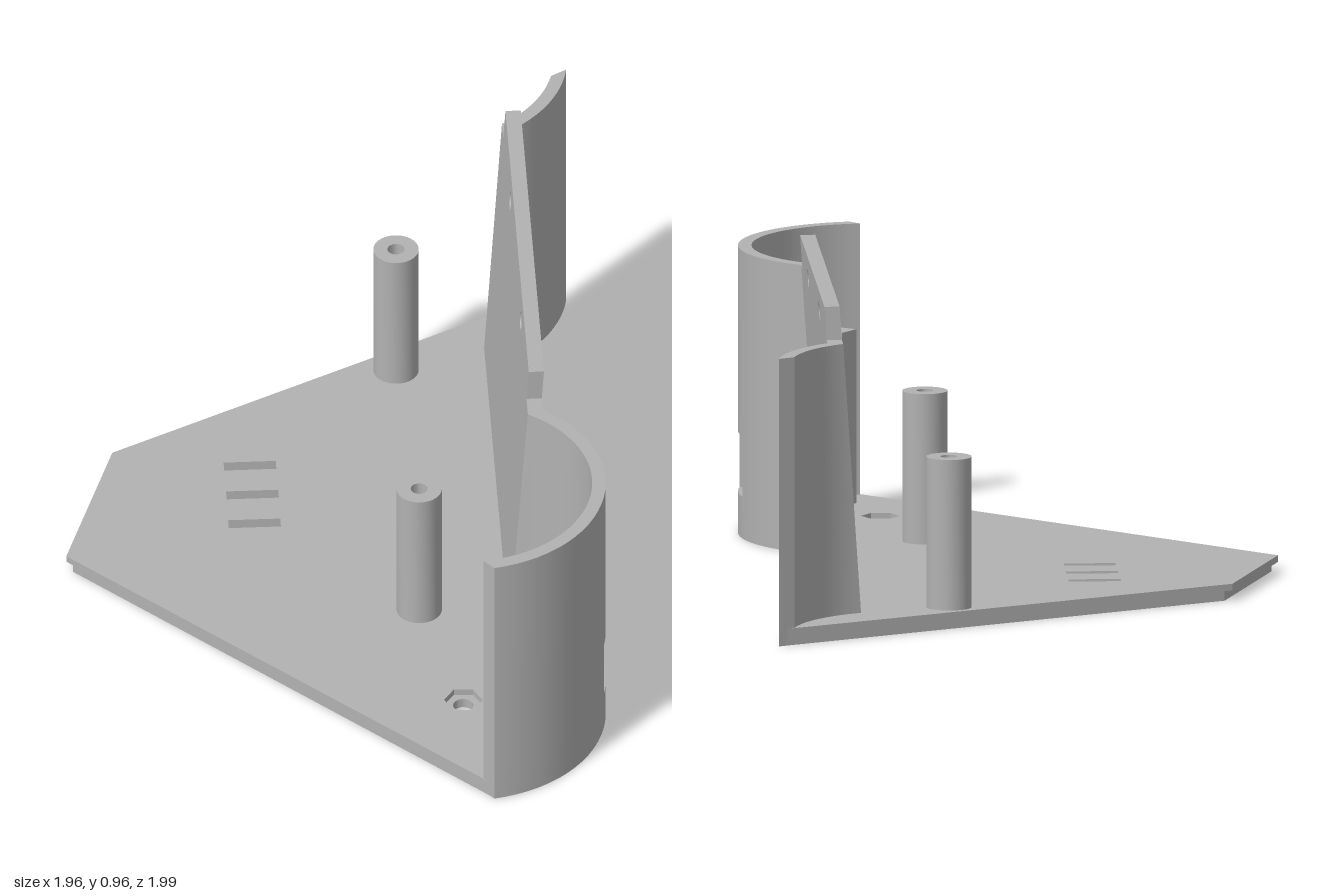
import * as THREE from 'three';
import { toCreasedNormals } from 'three/addons/utils/BufferGeometryUtils.js';

const rad = THREE.MathUtils.degToRad;
// Horizontal directions along the flat wall and out of it
const ALONG = new THREE.Vector2(0.589, -0.808);
const OUT = new THREE.Vector2(0.808, 0.589);
const LEAN = 0.067, WALL_TOP = 0.86, FLOOR = 0.05, STEP = 0.03;
const WINDOW = [48.5, 25];
const LEFT = new THREE.Vector2(-0.515, 0.575);
const RIGHT = new THREE.Vector2(0.68, -1.07);

// Outer and inner surfaces: radius, flat wall offset, end angles of the arcs
const FACES = [
  { r: 0.42, offset: 0.118, leftEnd: 116.6, rightEnd: 45 },
  { r: 0.38, offset: 0.073, leftEnd: 120.3, rightEnd: 50.4 },
];

// Angle at which an arc meets the leaning flat wall at height y
function crossing(c, face, y, sign) {
  const k = face.offset + LEAN * y - c.dot(OUT);
  return THREE.MathUtils.radToDeg(OUT.angle() + sign * Math.acos(k / face.r));
}

// Wall line at height y: round corner, flat wall, curved end
function wallLine(face, y) {
  const pts = [];
  const arc = (c, a, b, n, first) => {
    for (let i = first; i <= n; i++) {
      const t = rad(a + (b - a) * i / n);
      pts.push(new THREE.Vector3(c.x + face.r * Math.cos(t), y, c.y + face.r * Math.sin(t)));
    }
  };
  arc(LEFT, face.leftEnd, WINDOW[0], 14, 0);
  arc(LEFT, WINDOW[0], WINDOW[1], 6, 1);
  arc(LEFT, WINDOW[1], crossing(LEFT, face, y, -1), 12, 1);
  arc(RIGHT, crossing(RIGHT, face, y, 1), face.rightEnd, 14, 0);
  return pts;
}

// Continuous wall built from cells, leaving the window open
function wallGeometry() {
  const levels = [0, 0.125, 0.305, WALL_TOP];
  const outer = levels.map(y => wallLine(FACES[0], y));
  const inner = levels.map(y => wallLine(FACES[1], y));
  const cols = outer[0].length - 1;
  const solid = (i, l) => i >= 0 && i < cols && l >= 0 && l < 3 && !(l === 1 && i >= 14 && i < 20);
  const pos = [];
  const quad = (a, b, c, d) => [a, b, c, a, c, d].forEach(p => pos.push(p.x, p.y, p.z));
  for (let l = 0; l < 3; l++) for (let i = 0; i < cols; i++) {
    if (!solid(i, l)) continue;
    const o = outer[l], O = outer[l + 1], n = inner[l], N = inner[l + 1], j = i + 1;
    quad(o[i], o[j], O[j], O[i]);
    quad(n[j], n[i], N[i], N[j]);
    if (!solid(i, l + 1)) quad(O[i], O[j], N[j], N[i]);
    if (!solid(i, l - 1)) quad(o[j], o[i], n[i], n[j]);
    if (!solid(i - 1, l)) quad(n[i], o[i], O[i], N[i]);
    if (!solid(j, l)) quad(o[j], n[j], N[j], O[j]);
  }
  const g = new THREE.BufferGeometry();
  g.setAttribute('position', new THREE.Float32BufferAttribute(pos, 3));
  return toCreasedNormals(g, 0.4);
}

// Horizontal plate from [x, z] outlines
function plate(points, holes, y0, y1) {
  const flip = list => list.map(p => new THREE.Vector2(p[0], -p[1]));
  const shape = new THREE.Shape(flip(points));
  holes.forEach(h => shape.holes.push(new THREE.Path(flip(h))));
  const g = new THREE.ExtrudeGeometry(shape, { depth: y1 - y0, bevelEnabled: false });
  g.rotateX(-Math.PI / 2).translate(0, y0, 0);
  return toCreasedNormals(g, 0.5);
}

function ring(x, z, r, sides, turn = 0) {
  return Array.from({ length: sides }, (_, i) => {
    const t = turn + i / sides * Math.PI * 2;
    return [x + r * Math.cos(t), z + r * Math.sin(t)];
  });
}

// Slot with its long side square to the flat wall
function slot(x, z) {
  return [[-1, -1], [1, -1], [1, 1], [-1, 1]].map(([a, b]) => [
    x + OUT.x * a * 0.077 + ALONG.x * b * 0.019,
    z + OUT.y * a * 0.077 + ALONG.y * b * 0.019]);
}

export function createModel() {
  const group = new THREE.Group();
  const grey = new THREE.MeshStandardMaterial({ color: 0xb2b2b2 });
  grey.name = 'grey plastic';
  const add = (name, geometry, parent = group) => {
    const m = new THREE.Mesh(geometry, grey);
    m.name = name;
    parent.add(m);
    return m;
  };

  add('wall', wallGeometry());

  // Raised tab on the flat wall with two screw holes
  const tab = new THREE.Shape([[-0.375, WALL_TOP], [0.882, WALL_TOP], [0.882, 0.96], [-0.375, 0.96]]
    .map(p => new THREE.Vector2(...p)));
  for (const s of [-0.036, 0.541]) {
    tab.holes.push(new THREE.Path().absarc(s, 0.889, 0.028, 0, Math.PI * 2, true));
  }
  const tabGeometry = new THREE.ExtrudeGeometry(tab, { depth: 0.045, bevelEnabled: false, curveSegments: 16 });
  tabGeometry.translate(0, 0, FACES[1].offset);
  tabGeometry.applyMatrix4(new THREE.Matrix4().makeBasis(
    new THREE.Vector3(ALONG.x, 0, ALONG.y),
    new THREE.Vector3(OUT.x * LEAN, 1, OUT.y * LEAN),
    new THREE.Vector3(OUT.x, 0, OUT.y)));
  add('wallTab', toCreasedNormals(tabGeometry, 0.5));

  // Floor in two layers: stepped back edge, hexagonal nut pocket, vent slots
  const inside = wallLine(FACES[1], 0);
  const edge = wallLine(FACES[0], 0).map((p, i) => [(p.x + inside[i].x) / 2, (p.z + inside[i].z) / 2]);
  const slots = [slot(-0.455, -0.472), slot(-0.372, -0.583), slot(-0.29, -0.695)];
  add('floorLower', plate([...edge, [-0.545, -0.988], [-0.976, -0.68]],
    [...slots, ring(LEFT.x, LEFT.y, 0.03, 24)], 0, STEP));
  add('floorUpper', plate([...edge, [-0.565, -1], [-0.985, -0.7]],
    [...slots, ring(LEFT.x, LEFT.y, 0.057, 6, rad(-80))], STEP, FLOOR));

  // Screw posts
  const profile = [[0.067, 0.04], [0.067, 0.5], [0.025, 0.5], [0.025, 0.06], [0, 0.06]]
    .map(p => new THREE.Vector2(...p));
  for (const [x, z] of [[0.335, -0.78], [-0.34, 0.155]]) {
    add('screwPost', toCreasedNormals(new THREE.LatheGeometry(profile, 32), 0.5)).position.set(x, 0, z);
  }

  // U-shaped bracket against the round corner
  const bracket = new THREE.Group();
  bracket.name = 'bracket';
  bracket.position.set(LEFT.x, 0, LEFT.y);
  bracket.rotation.y = rad(18);
  group.add(bracket);
  for (const s of [-1, 1]) {
    add('bracketTower', plate([[s * 0.07, 0.18], [s * 0.15, 0.18], [s * 0.15, 0.37], [s * 0.07, 0.39]],
      [ring(s * 0.108, 0.246, 0.033, 20)], 0.045, 0.57), bracket);
  }
  add('bracketBase', plate([[-0.07, 0.18], [0.07, 0.18], [0.07, 0.39], [-0.07, 0.39]], [], 0.045, 0.11), bracket);

  return group;
}
